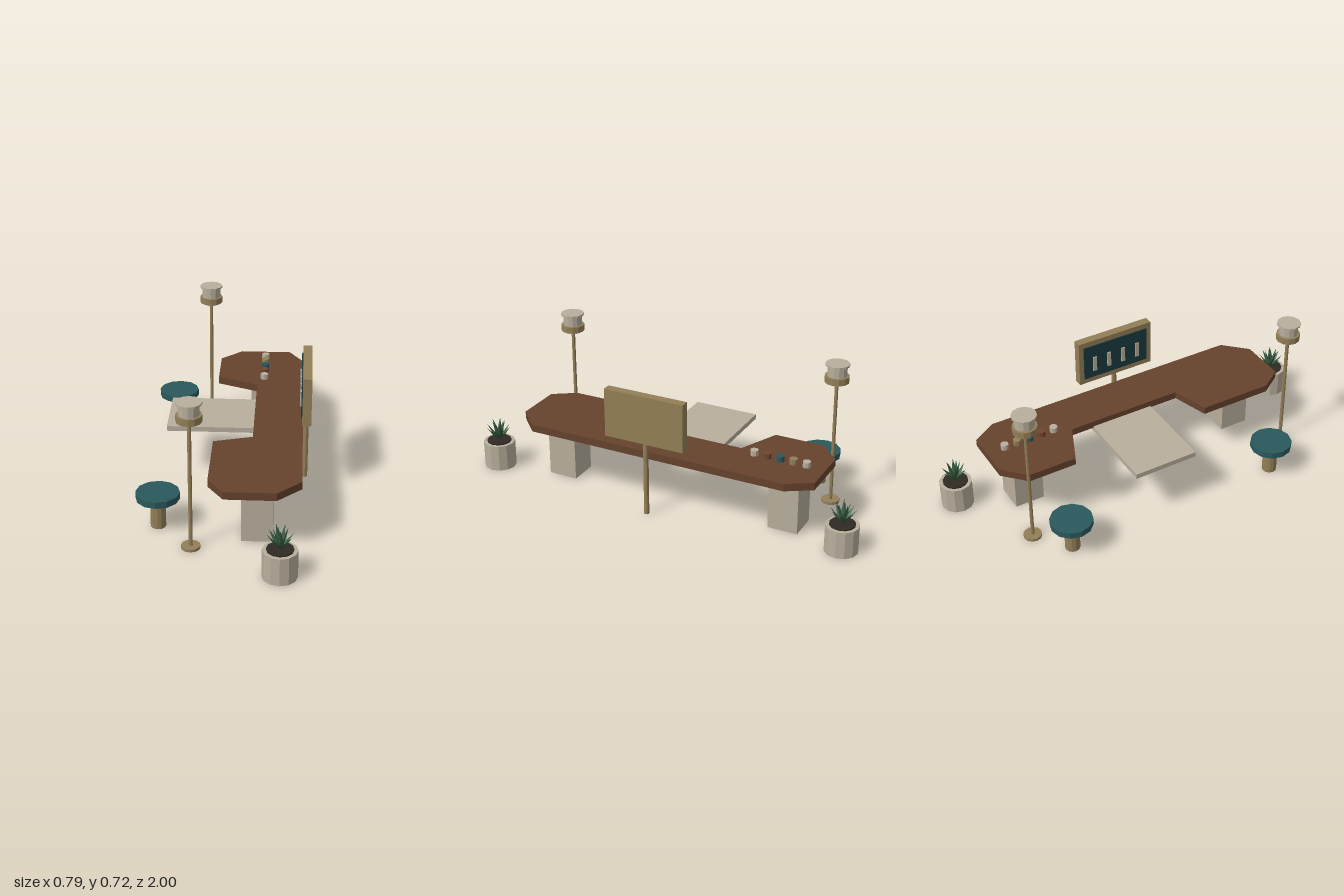
import * as THREE from 'three';

const mat = (name, color) => new THREE.MeshStandardMaterial({ name, color, flatShading: true });

export function createModel() {
  const wood = mat('brown wood', 0x66422d);
  const stone = mat('beige stone', 0xb8ae9c);
  const brass = mat('tan brass', 0x937f57);
  const teal = mat('teal', 0x2a595d);
  const screenDark = mat('dark teal screen', 0x1a3a3e);
  const soilDark = mat('dark soil', 0x2f2a22);
  const leafGreen = mat('leaf green', 0x35583f);
  const copper = mat('copper', 0x74452e);

  const model = new THREE.Group();
  model.name = 'counterSet';

  const group = (name, x = 0, z = 0) => {
    const g = new THREE.Group();
    g.name = name;
    g.position.set(x, 0, z);
    model.add(g);
    return g;
  };
  const add = (parent, name, geometry, material) => {
    const m = new THREE.Mesh(geometry, material);
    m.name = name;
    parent.add(m);
    return m;
  };
  // Box given by its limits on each axis
  const box = (parent, name, material, [x0, x1], [y0, y1], [z0, z1]) => {
    const m = add(parent, name, new THREE.BoxGeometry(x1 - x0, y1 - y0, z1 - z0), material);
    m.position.set((x0 + x1) / 2, (y0 + y1) / 2, (z0 + z1) / 2);
    return m;
  };
  // Upright cylinder from y0 to y1
  const cyl = (parent, name, material, r, y0, y1, sides = 12) => {
    const m = add(parent, name, new THREE.CylinderGeometry(r, r, y1 - y0, sides), material);
    m.position.y = (y0 + y1) / 2;
    return m;
  };

  // Counter top: chamfered outline (x, z) with a recess on the seating side
  const counter = group('counter');
  const outline = [
    [0.03, -0.787], [0.286, -0.787], [0.358, -0.668], [0.358, 0.655], [0.248, 0.765], [0.014, 0.765],
    [-0.06, 0.655], [-0.06, 0.287], [0.124, 0.232], [0.124, -0.355], [-0.077, -0.443], [-0.077, -0.684],
  ];
  const topShape = new THREE.Shape(outline.map(([x, z]) => new THREE.Vector2(x, -z)));
  const topGeo = new THREE.ExtrudeGeometry(topShape, { depth: 0.037, bevelEnabled: false });
  topGeo.rotateX(-Math.PI / 2);
  add(counter, 'counterTop', topGeo, wood).position.y = 0.281;

  // Pedestals and the low side shelf
  for (const z of [0.57, -0.618]) {
    box(counter, 'pedestal', stone, [0.088, 0.233], [0, 0.282], [z - 0.074, z + 0.074]);
  }
  box(counter, 'sideShelf', stone, [-0.297, 0.143], [0.264, 0.289], [-0.24, 0.084]);

  // Row of cups
  [stone, copper, teal, brass, stone].forEach((m, i) => {
    const cup = cyl(counter, 'cup', [m, m, m][0], 0.02, 0.317, 0.345, 8);
    cup.position.x = 0.159;
    cup.position.z = -0.437 - i * 0.065;
  });

  // Stools
  for (const z of [0.528, -0.588]) {
    const stool = group('stool', -0.297, z);
    cyl(stool, 'stoolColumn', brass, 0.036, 0, 0.146);
    cyl(stool, 'stoolSeat', teal, 0.102, 0.145, 0.177);
  }

  // Standing lamps
  for (const z of [0.71, -0.714]) {
    const lamp = group('lamp', -0.133, z);
    cyl(lamp, 'lampBase', brass, 0.044, 0, 0.013);
    cyl(lamp, 'lampPole', brass, 0.009, 0.01, 0.625, 8);
    cyl(lamp, 'lampDiffuser', stone, 0.043, 0.621, 0.635);
    cyl(lamp, 'lampBand', brass, 0.058, 0.629, 0.661);
    cyl(lamp, 'lampShade', stone, 0.047, 0.66, 0.712);
    cyl(lamp, 'lampCap', stone, 0.058, 0.711, 0.72);
  }

  // Menu board on a post, its screen facing the seats
  const board = group('menuBoard', 0, 0.017);
  cyl(board, 'boardPost', brass, 0.013, 0, 0.376, 8).position.x = 0.374;
  box(board, 'boardFrame', brass, [0.353, 0.396], [0.374, 0.613], [-0.203, 0.203]);
  box(board, 'boardScreen', screenDark, [0.348, 0.354], [0.402, 0.585], [-0.178, 0.178]);
  for (const z of [-0.12, -0.04, 0.04, 0.12]) {
    box(board, 'boardStripe', stone, [0.342, 0.349], [0.44, 0.52], [z - 0.01, z + 0.01]);
  }

  // Pointed leaf: an octahedron stretched along y with its wide part low
  const leafGeometry = (length, width) => {
    const g = new THREE.OctahedronGeometry(1);
    const p = g.attributes.position;
    for (let i = 0; i < p.count; i++) {
      const y = p.getY(i);
      const h = y > 0.5 ? 1 : y < -0.5 ? 0 : 0.4;
      p.setXYZ(i, p.getX(i) * width, h * length, p.getZ(i) * width * 0.4);
    }
    return g;
  };

  // Potted plants with two rings of leaves
  for (const z of [0.921, -0.921]) {
    const plant = group('pottedPlant', 0.268, z);
    cyl(plant, 'pot', stone, 0.079, 0, 0.133);
    cyl(plant, 'soil', soilDark, 0.061, 0.13, 0.139);
    for (const [count, length, tilt, turn] of [[8, 0.098, 0.66, 0.2], [5, 0.114, 0.3, 0]]) {
      for (let i = 0; i < count; i++) {
        const leaf = add(plant, 'leaf', leafGeometry(length, 0.013), leafGreen);
        leaf.position.y = 0.136;
        leaf.rotation.set(tilt, turn + (i * Math.PI * 2) / count, 0, 'YXZ');
      }
    }
  }

  return model;
}
